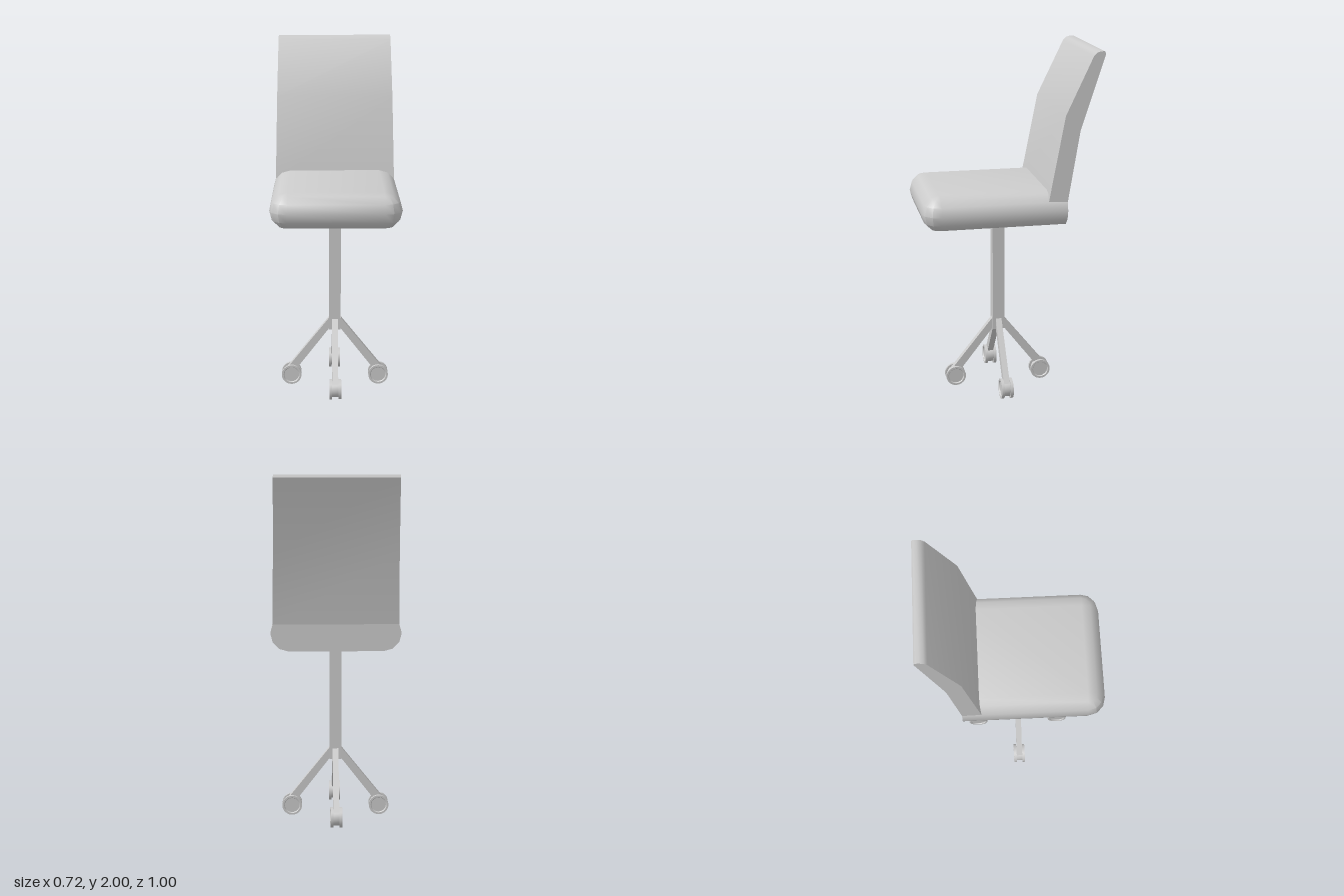
import * as THREE from 'three';
import { toCreasedNormals } from 'three/addons/utils/BufferGeometryUtils.js';

const material = new THREE.MeshStandardMaterial({ color: 0xcccccc });

function part(name, geometry, crease = 0.65) {
  const mesh = new THREE.Mesh(toCreasedNormals(geometry, crease), material);
  mesh.name = name;
  return mesh;
}

// Extrude a side profile symmetrically about z = 0
function slab(points, width) {
  const shape = new THREE.Shape(points.map(([x, y]) => new THREE.Vector2(x, y)));
  return new THREE.ExtrudeGeometry(shape, { depth: width, bevelEnabled: false }).translate(0, 0, -width / 2);
}

// Cushion: stacked outlines, rounded at the sides and front, cut flat at the back
function seatGeometry() {
  const R = 0.1, X = 0.26, FRONT = 0.4, BACK = -0.296, MID = 1.135, STEPS = 3;
  const pos = [], index = [];
  const rings = STEPS * 2 + 1, n = STEPS * 2 + 4;
  for (let i = 0; i < rings; i++) {
    const phi = (i / STEPS - 1) * Math.PI / 2;
    const r = R * Math.cos(phi), y = MID + R * Math.sin(phi);
    pos.push(X + r, y, BACK);
    for (const side of [0, 1]) {
      for (let k = 0; k <= STEPS; k++) {
        const a = (side + k / STEPS) * Math.PI / 2;
        pos.push((side ? -X : X) + r * Math.cos(a), y, FRONT + r * Math.sin(a));
      }
    }
    pos.push(-X - r, y, BACK);
  }
  for (let i = 0; i < rings - 1; i++) {
    for (let j = 0; j < n; j++) {
      const a = i * n + j, b = i * n + (j + 1) % n;
      index.push(a, a + n, b + n, a, b + n, b);
    }
  }
  const top = (rings - 1) * n;
  for (let j = 1; j < n - 1; j++) {
    index.push(0, j, j + 1, top, top + j + 1, top + j);
  }
  const g = new THREE.BufferGeometry();
  g.setAttribute('position', new THREE.Float32BufferAttribute(pos, 3));
  g.setIndex(index);
  return g;
}

// Backrest: bent side profile, slightly narrower towards the top
function backrestGeometry() {
  const g = slab([
    [-0.296, 1.185], [-0.19, 1.19], [-0.28, 1.66], [-0.43, 1.975], [-0.447, 1.993],
    [-0.47, 2], [-0.49, 2], [-0.497, 1.985], [-0.362, 1.575],
  ], 2).rotateY(-Math.PI / 2);
  const p = g.attributes.position;
  for (let i = 0; i < p.count; i++) {
    const t = (p.getY(i) - 1.185) / 0.815;
    p.setX(i, p.getX(i) * THREE.MathUtils.lerp(0.347, 0.331, t));
  }
  return g;
}

// Twin-disc castor turned around one axis, with shallow dished faces
function castorGeometry() {
  const half = [[0.046, 0.018], [0.058, 0.018], [0.058, 0.034], [0.047, 0.034], [0.043, 0.028], [0, 0.028]];
  const profile = [
    ...half.map(([r, y]) => new THREE.Vector2(r, -y)).reverse(),
    ...half.map(([r, y]) => new THREE.Vector2(r, y)),
  ];
  return new THREE.LatheGeometry(profile, 24).rotateX(Math.PI / 2);
}

export function createModel() {
  const chair = new THREE.Group();
  chair.name = 'swivelChair';
  chair.add(part('seat', seatGeometry()), part('backrest', backrestGeometry()));

  const base = new THREE.Group();
  base.name = 'base';
  base.position.set(-0.003, 0, 0.028);
  chair.add(base);

  base.add(part('column', new THREE.BoxGeometry(0.068, 0.685, 0.068).translate(0, 0.6825, 0)));

  // Four sloping legs, each ending in a castor
  const leg = slab([[0.02, 0.34], [0.035, 0.34], [0.235, 0.08], [0.29, 0.085], [0.035, 0.405], [0.02, 0.405]], 0.034);
  const castor = castorGeometry().translate(0.255, 0.059, 0);
  for (let i = 0; i < 4; i++) {
    const arm = new THREE.Group();
    arm.name = 'castorLeg' + (i + 1);
    arm.rotation.y = i * Math.PI / 2;
    arm.add(part('leg', leg), part('castor', castor));
    base.add(arm);
  }
  return chair;
}
